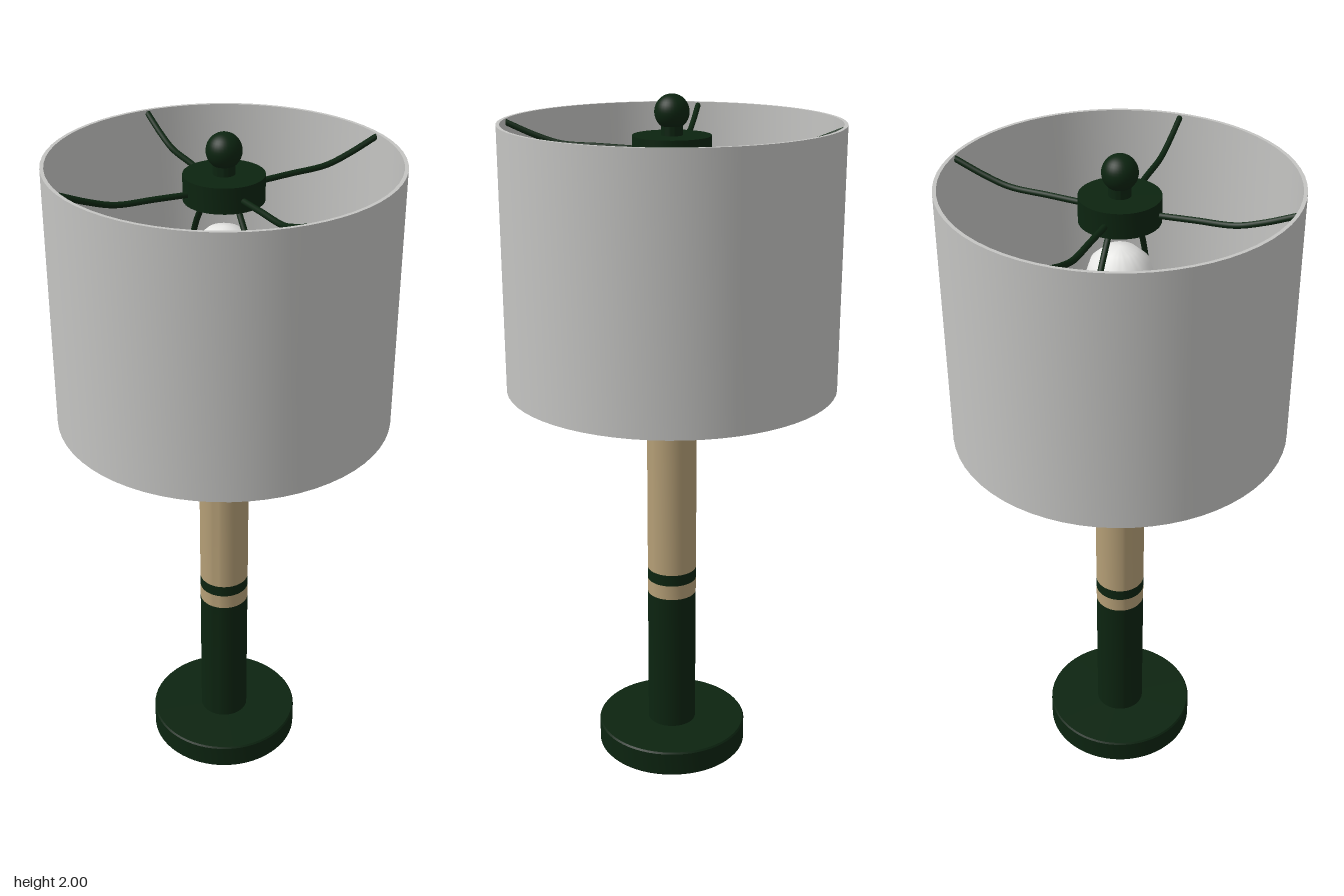
import * as THREE from 'three';
import { toCreasedNormals } from 'three/addons/utils/BufferGeometryUtils.js';

const material = (name, color) => {
  const m = new THREE.MeshStandardMaterial({ color });
  m.name = name;
  return m;
};

export function createModel() {
  const green = material('dark green metal', 0x0c2410);
  const wood = material('pale wood', 0xb49e76);
  const fabric = material('grey shade fabric', 0xc4c4c2);
  const glass = material('white bulb glass', 0xeeeeec);
  const lamp = new THREE.Group();
  lamp.name = 'tableLamp';

  const add = (name, geometry, mat, parent = lamp) => {
    const mesh = new THREE.Mesh(geometry, mat);
    mesh.name = name;
    parent.add(mesh);
    return mesh;
  };
  // Turned part from a [radius, height] profile, listed bottom to top
  const turned = (name, profile, mat, segments = 48) => {
    const points = profile.map(([r, y]) => new THREE.Vector2(r, y));
    return add(name, toCreasedNormals(new THREE.LatheGeometry(points, segments), 0.6), mat);
  };
  const rod = (name, r, y0, y1, mat) => turned(name, [[0, y0], [r, y0], [r, y1], [0, y1]], mat);
  const wire = (name, points, radius, parent) => {
    const curve = new THREE.CatmullRomCurve3(points.map(([x, y]) => new THREE.Vector3(x, y, 0)));
    return add(name, new THREE.TubeGeometry(curve, 32, radius, 8), green, parent);
  };
  const ball = (name, r, x, y, parent) =>
    add(name, new THREE.SphereGeometry(r, 32, 20), green, parent).position.set(x, y, 0);

  // Foot and round base
  rod('foot', 0.1, 0, 0.01, green);
  turned('base', [[0, 0.005], [0.222, 0.005], [0.226, 0.01], [0.226, 0.078], [0.222, 0.083], [0, 0.083]], green, 64);

  // Column in coloured sections
  rod('lowerColumn', 0.073, 0.08, 0.52, green);
  rod('lowerWoodBand', 0.073, 0.52, 0.565, wood);
  rod('greenBand', 0.073, 0.565, 0.6, green);
  rod('upperColumn', 0.073, 0.6, 1.09, wood);

  // Neck, saddle and bulb socket
  turned('neck', [[0, 1.09], [0.048, 1.09], [0.048, 1.102], [0.036, 1.115], [0.036, 1.21], [0, 1.21]], green);
  rod('saddle', 0.085, 1.205, 1.23, green);
  turned('socket', [[0, 1.23], [0.05, 1.23], [0.066, 1.26], [0.066, 1.35], [0.048, 1.37], [0.048, 1.45], [0, 1.45]], green);

  // Bulb
  turned('bulb', [[0.04, 1.45], [0.045, 1.49], [0.075, 1.56], [0.092, 1.62], [0.092, 1.66],
    [0.078, 1.705], [0.045, 1.735], [0, 1.745]], glass);

  // Hub and finial at the top
  rod('hub', 0.109, 1.82, 1.89, green);
  rod('finialNeck', 0.03, 1.89, 1.92, green);
  ball('finial', 0.048, 0, 1.952, lamp);

  // Spider arms and harp, turned about the column
  const frame = new THREE.Group();
  frame.name = 'shadeFrame';
  frame.rotation.y = THREE.MathUtils.degToRad(-42);
  lamp.add(frame);
  for (let i = 0; i < 4; i++) {
    const arm = wire('spiderArm', [[0.09, 1.85], [0.2, 1.855], [0.31, 1.86], [0.38, 1.88], [0.468, 1.915]], 0.0085, frame);
    arm.rotation.y = i * Math.PI / 2;
  }
  for (const side of [0, Math.PI]) {
    const half = new THREE.Group();
    half.name = 'harpHalf';
    half.rotation.y = side;
    frame.add(half);
    wire('harpWire', [[0.06, 1.215], [0.115, 1.22], [0.148, 1.265], [0.165, 1.33], [0.2, 1.42],
      [0.215, 1.54], [0.17, 1.69], [0.07, 1.83]], 0.0085, half);
    ball('harpJoint', 0.018, 0.148, 1.268, half);
  }

  // Turn switch on the side of the socket
  const key = new THREE.Group();
  key.name = 'switchKey';
  key.rotation.y = THREE.MathUtils.degToRad(45);
  lamp.add(key);
  wire('switchStem', [[0.05, 1.31], [0.08, 1.31], [0.11, 1.31]], 0.008, key);
  ball('switchKnob', 0.014, 0.108, 1.31, key);

  // Drum shade, a thin open ring
  turned('shade', [[0.465, 1.18], [0.475, 1.18], [0.475, 1.925], [0.465, 1.925], [0.465, 1.18]], fabric, 64);

  return lamp;
}
